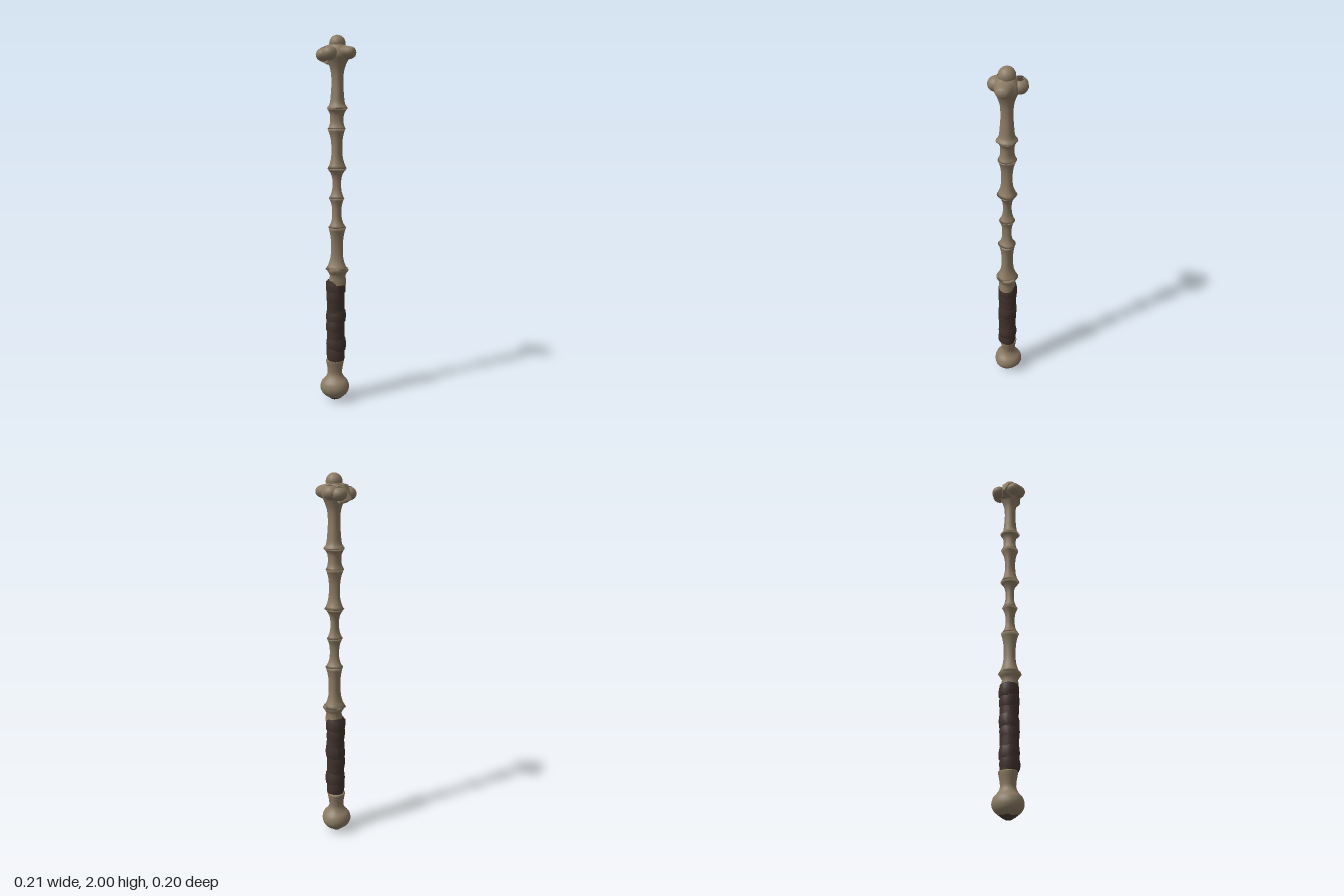
import * as THREE from 'three';

const mat = (name, color, side = THREE.FrontSide) => {
  const m = new THREE.MeshStandardMaterial({ color, side });
  m.name = name;
  return m;
};

export function createModel() {
  const bone = mat('bone', 0x8a7a62, THREE.DoubleSide);
  const leather = mat('dark leather', 0x40322b, THREE.DoubleSide);
  const stain = mat('dark stain', 0x4b3c33, THREE.DoubleSide);
  const model = new THREE.Group();
  model.name = 'boneStaff';

  const add = (name, geometry, material, parent = model) => {
    const mesh = new THREE.Mesh(geometry, material);
    mesh.name = name;
    parent.add(mesh);
    return mesh;
  };
  const lathe = (points, segments = 20) =>
    new THREE.LatheGeometry(points.map(([r, y]) => new THREE.Vector2(r, y)), segments);

  // Smooth profile through a few [radius, y] points
  const smooth = (points, n) => new THREE.CatmullRomCurve3(
    points.map(([r, y]) => new THREE.Vector3(r, y, 0))).getPoints(n).map(p => [Math.max(p.x, 0), p.y]);

  // Gently uneven surface: push points in or out by a wave round the axis
  const roughen = (g, amount, turns, freq) => {
    const p = g.attributes.position;
    for (let i = 0; i < p.count; i++) {
      const x = p.getX(i), y = p.getY(i), z = p.getZ(i);
      const s = 1 + amount * Math.sin(turns * Math.atan2(z, x) + y * freq);
      p.setXYZ(i, x * s, y, z * s);
    }
    g.computeVertexNormals();
    return g;
  };

  // Vertebrae: each is waisted between two flared lips [y, lip radius, waist radius above]
  const joints = [
    [0.755, 0.060, 0.032], [0.985, 0.048, 0.025], [1.145, 0.042, 0.023],
    [1.305, 0.052, 0.029], [1.515, 0.048, 0.035], [1.62, 0.054, 0],
  ];
  const spine = new THREE.Group();
  spine.name = 'spine';
  model.add(spine);
  for (let i = 0; i < joints.length - 1; i++) {
    const [y0, r0, waist] = joints[i], [y1, r1] = joints[i + 1];
    const profile = [[0.01, y0 - 0.006]];
    for (let k = 0; k <= 14; k++) {
      const t = k / 14, u = Math.abs(2 * t - 1);
      const lip = t < 0.5 ? r0 : r1;
      profile.push([waist + (lip - waist) * u ** 2.7, y0 + (y1 - y0) * t]);
    }
    profile.push([0.01, y1 + 0.006]);
    const v = add('vertebra' + (i + 1), roughen(lathe(profile), 0.05, 3, 9 + i), bone, spine);
    v.position.x = -0.003;
  }

  // Long bone carrying the head
  add('upperShaft', roughen(lathe(smooth([
    [0.01, 1.612], [0.054, 1.622], [0.041, 1.645], [0.034, 1.70], [0.031, 1.76],
    [0.035, 1.815], [0.048, 1.855], [0.063, 1.89], [0.058, 1.92], [0.043, 1.945], [0.03, 1.96]], 40)), 0.03, 4, 6), bone);
  // Collar above the grip
  add('collar', roughen(lathe([
    [0.047, 0.67], [0.046, 0.70], [0.042, 0.72], [0.05, 0.735], [0.06, 0.75], [0.056, 0.762], [0.01, 0.768]]), 0.04, 3, 12), bone);

  // Head: crown and knuckles
  const head = new THREE.Group();
  head.name = 'head';
  model.add(head);
  const blob = (name, at, size, angle = 0, material = bone, theta = Math.PI) => {
    const m = add(name, new THREE.SphereGeometry(1, 18, 12, 0, Math.PI * 2, 0, theta), material, head);
    m.position.set(...at);
    m.scale.set(...size);
    m.rotation.y = angle;
    return m;
  };
  blob('crown', [0, 1.957, 0], [0.043, 0.043, 0.043]);
  blob('headCore', [-0.008, 1.905, 0], [0.068, 0.05, 0.064]);
  for (const s of [-1, 1]) {
    blob('sideKnuckle', [-0.018, 1.903, s * 0.058], [0.042, 0.037, 0.041]);
    blob('rearKnuckle', [-0.06, 1.897, s * 0.048], [0.038, 0.034, 0.041], s * 0.4);
    // Dark pits on the knuckles
    blob('pit', [-0.06, 1.898, s * 0.048], [0.039, 0.035, 0.042], s * 0.4, stain, 0.4);
  }
  blob('pit', [-0.012, 1.904, -0.058], [0.043, 0.038, 0.042], 0, stain, 0.42);

  // Blunt tapering knuckle pointing left
  const spur = add('leftKnuckle', lathe(smooth([
    [0.058, 0], [0.05, 0.03], [0.041, 0.06], [0.036, 0.08], [0.026, 0.096], [0, 0.104]], 18), 14), bone, head);
  spur.rotation.z = -Math.PI / 2;
  spur.position.set(0, 1.907, 0);
  spur.scale.x = 0.85;

  // Broken splinter on the right
  const splinterShape = new THREE.Shape();
  [[-0.105, 1.873], [-0.07, 1.942], [-0.025, 1.95], [-0.02, 1.875], [-0.05, 1.85]]
    .forEach(([x, y], i) => i ? splinterShape.lineTo(x, y) : splinterShape.moveTo(x, y));
  const splinter = new THREE.ExtrudeGeometry(splinterShape, { depth: 0.07, bevelEnabled: false });
  splinter.translate(0, 0, -0.035);
  const sp = splinter.attributes.position;
  for (let i = 0; i < sp.count; i++) {
    sp.setZ(i, sp.getZ(i) * THREE.MathUtils.clamp((sp.getX(i) + 0.107) / 0.06, 0.06, 1));
  }
  splinter.computeVertexNormals();
  add('splinter', splinter, bone, head);

  // Leather grip with overlapping tilted wraps
  const grip = new THREE.Group();
  grip.name = 'grip';
  grip.position.x = -0.01;
  model.add(grip);
  add('gripCore', roughen(lathe([
    [0.04, 0.232], [0.047, 0.236], [0.048, 0.35], [0.05, 0.46], [0.048, 0.58], [0.047, 0.69], [0.04, 0.695]], 18), 0.03, 3, 14), leather, grip);
  for (let i = 0; i < 8; i++) {
    const h = 0.032;
    const r = 0.050 + 0.003 * Math.sin(i * 2.1);
    const wrap = add('wrap', roughen(lathe([
      [0.046, -h], [r, -h], [r + 0.002, 0], [r - 0.002, h], [0.046, h]], 18), 0.02, 2, 20), leather, grip);
    wrap.position.set(0.002 * Math.sin(i * 1.7), 0.276 + i * 0.054, 0.002 * Math.cos(i * 2.3));
    wrap.rotation.set(0.08 * Math.sin(i * 1.3), i, 0.1 * Math.cos(i * 1.9));
  }

  // Pommel: neck swelling to a rounded knob, with a stained underside
  const pommel = new THREE.Group();
  pommel.name = 'pommel';
  pommel.position.set(-0.016, 0, -0.003);
  model.add(pommel);
  add('pommelKnob', roughen(lathe(smooth([
    [0.022, 0.012], [0.05, 0.026], [0.073, 0.05], [0.081, 0.078], [0.073, 0.108], [0.052, 0.132],
    [0.041, 0.155], [0.042, 0.185], [0.049, 0.225], [0.049, 0.235], [0.02, 0.24]], 40), 24), 0.03, 3, 5), bone, pommel);
  add('pommelStain', roughen(lathe([
    [0, 0], [0.018, 0.004], [0.034, 0.013], [0.047, 0.024]], 24), 0.06, 5, 5), stain, pommel);

  return model;
}
